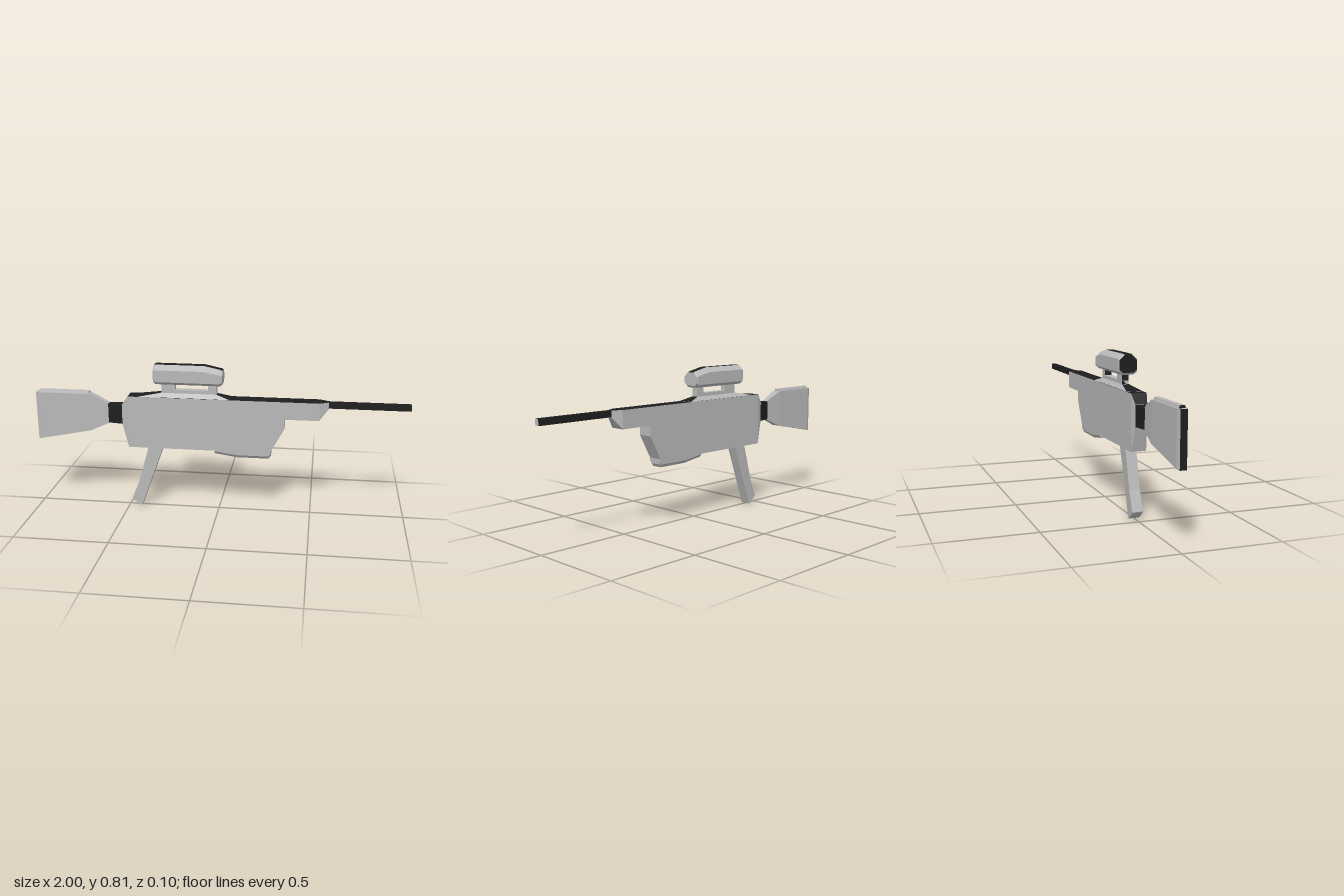
import * as THREE from 'three';

const light = new THREE.MeshStandardMaterial({ color: 0xb8b8b8 });
light.name = 'light grey';
const dark = new THREE.MeshStandardMaterial({ color: 0x1e1e1e });
dark.name = 'near black';
const both = [light, dark];

// Flat-faced loft along x. sections: [x, ring], ring points [y, z] start at the top on +z and run
// down, across and back up. darkSides lists the ring edges that are dark; 'rear'/'front' are caps.
function loft(name, sections, darkSides = []) {
  const tris = [[], []];
  const n = sections[0][1].length;
  const at = (s, i) => [sections[s][0], ...sections[s][1][i % n]];
  const add = (key, ...pts) => tris[darkSides.includes(key) ? 1 : 0].push(...pts.flat());
  for (let s = 0; s < sections.length - 1; s++) {
    for (let j = 0; j < n; j++) {
      const a = at(s, j), b = at(s, j + 1), c = at(s + 1, j + 1), d = at(s + 1, j);
      add(j, a, b, c);
      add(j, a, c, d);
    }
  }
  const last = sections.length - 1;
  for (let j = 1; j < n - 1; j++) {
    add('rear', at(0, 0), at(0, j + 1), at(0, j));
    add('front', at(last, 0), at(last, j), at(last, j + 1));
  }
  const geo = new THREE.BufferGeometry();
  geo.setAttribute('position', new THREE.Float32BufferAttribute([...tris[0], ...tris[1]], 3));
  geo.addGroup(0, tris[0].length / 3, 0);
  geo.addGroup(tris[0].length / 3, tris[1].length / 3, 1);
  geo.computeVertexNormals();
  const mesh = new THREE.Mesh(geo, both);
  mesh.name = name;
  return mesh;
}

// Rectangular section; edge order is +z side, bottom, -z side, top
const rect = (x, y0, y1, h, hTop = h) => [x, [[y1, hTop], [y0, h], [y0, -h], [y1, -hTop]]];
// Mirrors a half ring, given from top to bottom
const mirrored = (x, half) => [x, [...half, ...half.map(([y, z]) => [y, -z]).reverse()]];
const ALL = [0, 1, 2, 3];
const TOP = 3;

export function createModel() {
  const model = new THREE.Group();

  // Main body, tapered at the nose and tail, with a dark top
  model.add(loft('body', [
    rect(-0.522, 0.475, 0.585, 0.03),
    rect(-0.487, 0.35, 0.635, 0.04),
    rect(0.277, 0.35, 0.635, 0.04),
    rect(0.35, 0.485, 0.635, 0.04),
    rect(0.35, 0.54, 0.635, 0.04),
    rect(0.53, 0.54, 0.635, 0.04),
    rect(0.577, 0.598, 0.635, 0.013),
  ], [TOP]));

  // Chamfered belly under the front of the body
  const belly = (x, mid, low) => mirrored(x, [[0.37, 0.0402], [mid, 0.0402], [low, 0.028]]);
  model.add(loft('belly', [
    belly(-0.02, 0.347, 0.332),
    belly(0.1, 0.33, 0.314),
    belly(0.27, 0.33, 0.314),
    belly(0.282, 0.345, 0.33),
  ]));

  // Raised hump that carries the sight, grey sides with dark sloping ends
  model.add(loft('hump', [
    rect(-0.31, 0.63, 0.656, 0.04, 0.018),
    rect(-0.01, 0.63, 0.656, 0.04, 0.018),
  ]));
  model.add(loft('humpRearSlope', [
    rect(-0.43, 0.632, 0.636, 0.04),
    rect(-0.31, 0.632, 0.656, 0.04, 0.018),
  ], [TOP]));
  model.add(loft('humpFrontSlope', [
    rect(-0.01, 0.632, 0.656, 0.04, 0.018),
    rect(0.06, 0.632, 0.636, 0.04),
  ], [TOP]));

  // Barrel
  model.add(loft('barrel', [
    rect(0.57, 0.602, 0.635, 0.012),
    rect(1, 0.602, 0.635, 0.012),
  ], ALL));

  // Neck and stock
  model.add(loft('neck', [
    rect(-0.605, 0.477, 0.583, 0.0145),
    rect(-0.515, 0.477, 0.583, 0.031),
  ], ALL));
  model.add(loft('stock', [
    rect(-1, 0.37, 0.635, 0.017),
    rect(-0.98, 0.374, 0.635, 0.024),
    rect(-0.7, 0.43, 0.635, 0.024),
    rect(-0.598, 0.475, 0.585, 0.015),
  ], ['rear']));
  model.add(loft('cheekRest', [
    rect(-0.98, 0.63, 0.648, 0.018, 0.012),
    rect(-0.705, 0.63, 0.648, 0.018, 0.012),
  ], ['rear']));

  // Slanted grip
  const outline = new THREE.Shape([
    [-0.38, 0.36], [-0.44, 0.145], [-0.482, 0.045], [-0.476, 0.035],
    [-0.43, 0.0], [-0.3, 0.36],
  ].map(([x, y]) => new THREE.Vector2(x, y)));
  const gripGeo = new THREE.ExtrudeGeometry(outline, { depth: 0.056, bevelEnabled: false });
  gripGeo.translate(0, 0, -0.028);
  const grip = new THREE.Mesh(gripGeo, light);
  grip.name = 'grip';
  model.add(grip);

  // Sight base and its two mounts
  model.add(loft('sightBase', [
    rect(-0.305, 0.65, 0.674, 0.018),
    rect(-0.01, 0.65, 0.674, 0.018),
  ]));
  for (const [name, x0, x1] of [['rearMount', -0.305, -0.233], ['frontMount', -0.055, -0.01]]) {
    model.add(loft(name, [
      rect(x0, 0.655, 0.72, 0.018),
      rect(x1, 0.655, 0.72, 0.018),
    ], ['rear']));
  }

  // Eight-sided sight with a dark stripe along the top
  const tube = (x, top, low, h) => mirrored(x, [
    [top, 0.02], [top - 0.024, h], [low + 0.016, h], [low, 0.03],
  ]);
  model.add(loft('sight', [
    tube(-0.345, 0.805, 0.717, 0.046),
    tube(-0.335, 0.81, 0.706, 0.05),
    tube(-0.075, 0.81, 0.706, 0.05),
    tube(0.01, 0.792, 0.706, 0.05),
    tube(0.022, 0.787, 0.716, 0.046),
  ], [7, 'rear']));

  return model;
}
